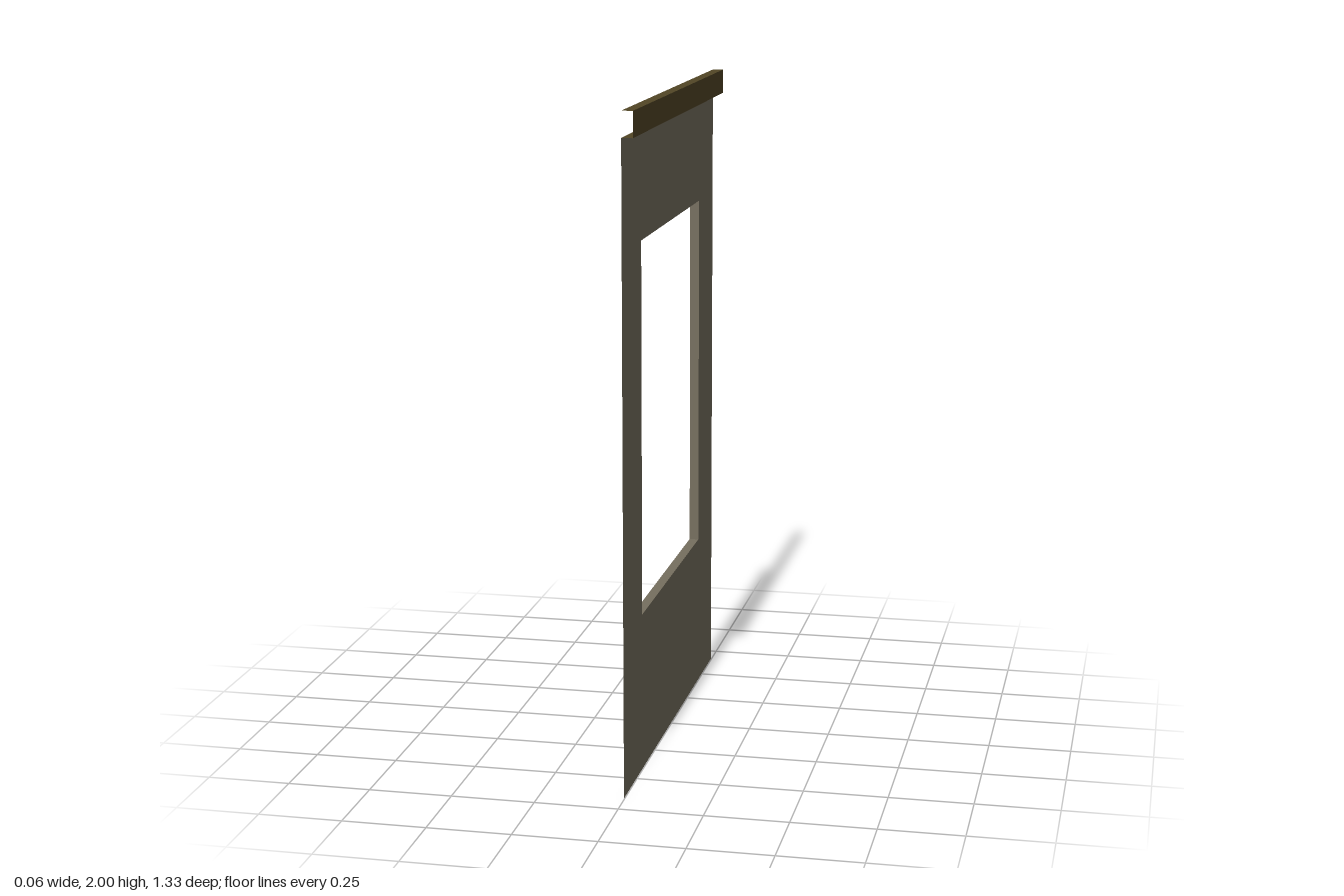
import * as THREE from 'three';

const WALL_X = -0.002, OUT_X = 0.031;
const WIDTH = 1.332, WALL_TOP = 1.925, TOP = 2;
const WIN = { z0: -0.44, z1: 0.415, y0: 0.483, y1: 1.603 };

const material = (color) =>
  new THREE.MeshStandardMaterial({ color, side: THREE.DoubleSide, flatShading: true });

// Open sheet: a polyline in XY swept from z = from to z = to
function sheet(points, from, to) {
  const pos = [];
  for (let i = 0; i + 1 < points.length; i++) {
    const [ax, ay] = points[i], [bx, by] = points[i + 1];
    pos.push(ax, ay, from, bx, by, from, bx, by, to);
    pos.push(ax, ay, from, bx, by, to, ax, ay, to);
  }
  const g = new THREE.BufferGeometry();
  g.setAttribute('position', new THREE.Float32BufferAttribute(pos, 3));
  g.computeVertexNormals();
  return g;
}

export function createModel() {
  const group = new THREE.Group();
  group.name = 'windowWall';
  const plaster = material(0x766f5f);
  const wood = material(0x524626);
  const add = (name, geometry, mat) => {
    const mesh = new THREE.Mesh(geometry, mat);
    mesh.name = name;
    group.add(mesh);
    return mesh;
  };

  // Window outline; local x becomes -z once turned to face +x
  const opening = [
    [-WIN.z1, WIN.y0], [-WIN.z1, WIN.y1], [-WIN.z0, WIN.y1], [-WIN.z0, WIN.y0], [-WIN.z1, WIN.y0],
  ];

  // Thin wall panel with the window cut out
  const h = WIDTH / 2;
  const shape = new THREE.Shape([[-h, 0], [h, 0], [h, WALL_TOP], [-h, WALL_TOP]]
    .map(([x, y]) => new THREE.Vector2(x, y)));
  shape.holes.push(new THREE.Path(opening.map(([x, y]) => new THREE.Vector2(x, y))));
  const panel = new THREE.ShapeGeometry(shape).rotateY(Math.PI / 2).translate(WALL_X, 0, 0);
  add('wallPanel', panel, plaster);

  // Window reveal, a thin sleeve running back from the wall
  add('windowReveal', sheet(opening, WALL_X, -OUT_X).rotateY(Math.PI / 2), plaster);

  // Top trim: channel with open ends and open back
  const channel = [[WALL_X, WALL_TOP], [OUT_X, WALL_TOP], [OUT_X, TOP], [WALL_X, TOP]];
  add('topTrim', sheet(channel, -h, h), wood);

  return group;
}
